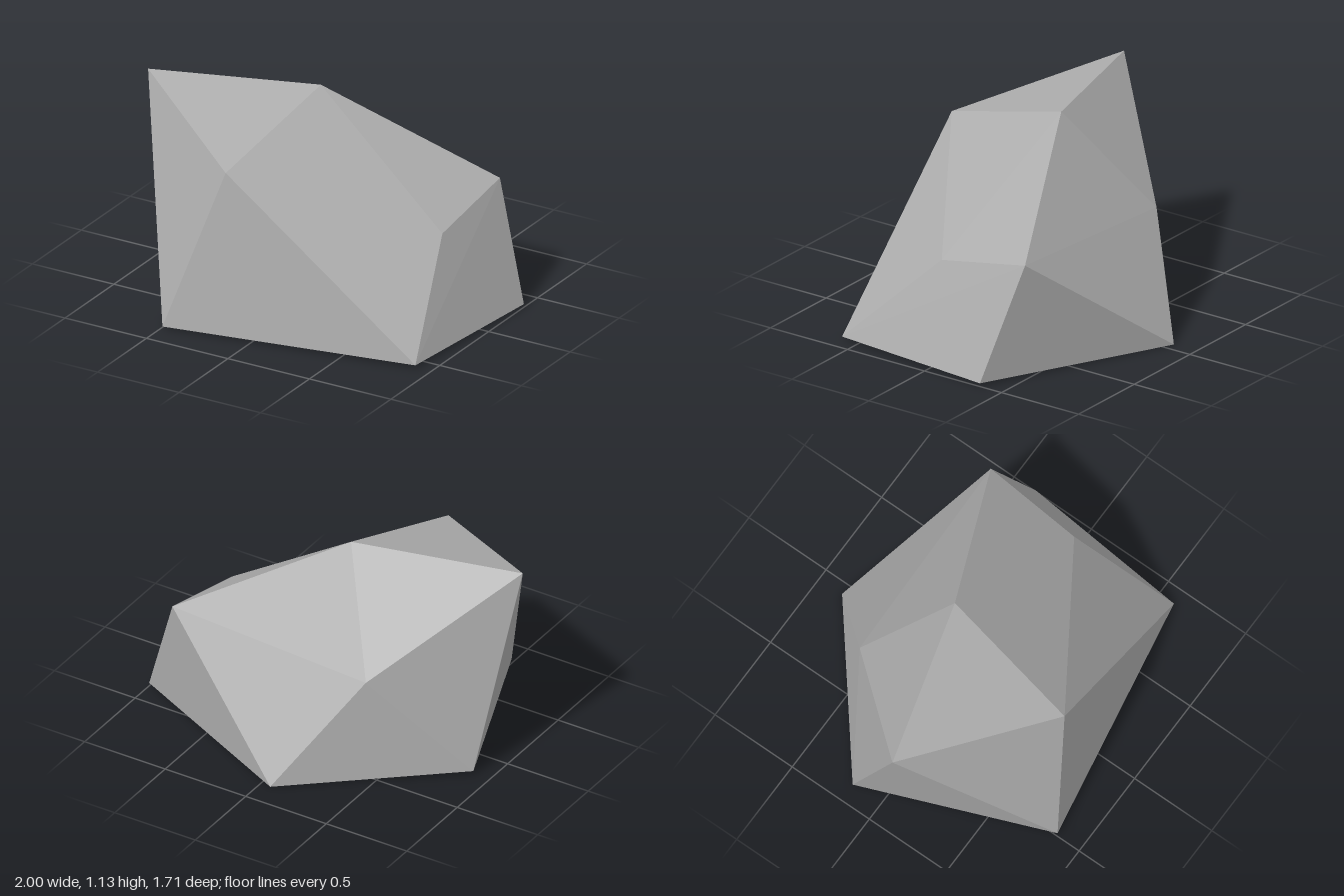
import * as THREE from 'three';
import { ConvexGeometry } from 'three/addons/geometries/ConvexGeometry.js';

export function createModel() {
  const group = new THREE.Group();
  group.name = 'boulder';

  const stone = new THREE.MeshStandardMaterial({ color: 0xacacac });
  stone.name = 'grey stone';

  // Corners of the faceted rock
  const corners = [
    // upper ridge
    [-1, 1.11, 0.15], [-0.09, 1.133, -0.1], [-0.2, 0.905, 0.69],
    // shoulders
    [0.775, 0.645, -0.49], [0.755, 0.535, 0.065], [-0.42, 0.57, -0.48],
    // base outline
    [-0.49, 0.013, 0.853], [0.91, 0.018, 0.6], [1, 0.018, -0.36],
    [-0.06, 0, -0.853], [-0.9, 0.018, -0.18],
    // slight bulge under the base
    [0, 0.006, 0.26],
  ].map((p) => new THREE.Vector3(...p));

  // Convex hull gives flat, hard-edged facets
  const rock = new THREE.Mesh(new ConvexGeometry(corners), stone);
  rock.name = 'rock';
  group.add(rock);
  return group;
}
